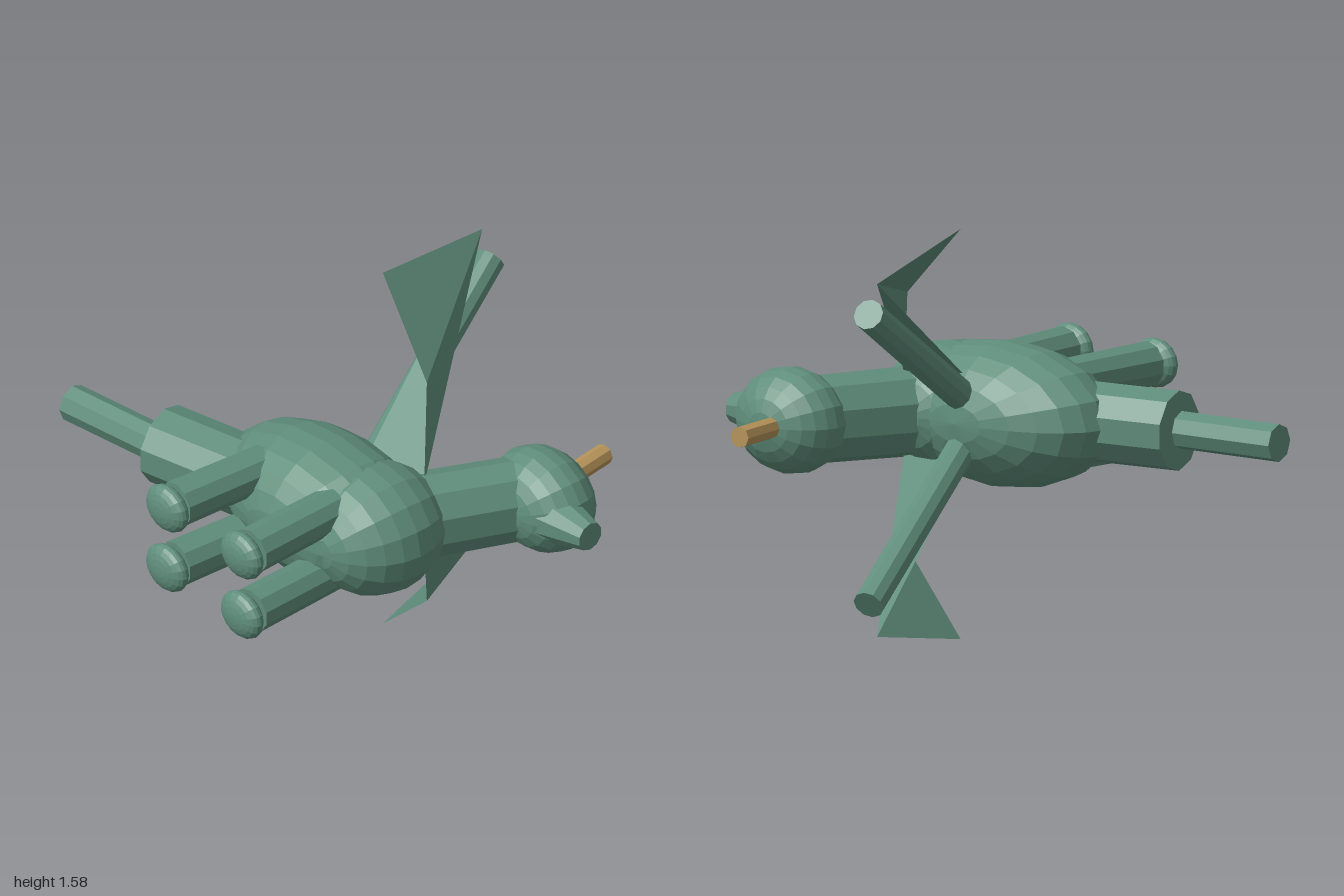
import * as THREE from 'three';

export function createModel() {
  const green = new THREE.MeshStandardMaterial({ color: 0x5f8d7b, flatShading: true });
  green.name = 'sage green';
  const membraneGreen = green.clone();
  membraneGreen.side = THREE.DoubleSide;
  const gold = new THREE.MeshStandardMaterial({ color: 0xb8955a, flatShading: true });
  gold.name = 'horn gold';

  const model = new THREE.Group();
  model.name = 'wingedCreature';
  // The creature is built upright (y up, facing +x), then laid on its side
  const creature = new THREE.Group();
  creature.name = 'creature';
  creature.rotation.x = -Math.PI / 2;
  creature.position.y = 0.796;
  model.add(creature);

  const add = (name, geometry, material = green) => {
    const mesh = new THREE.Mesh(geometry, material);
    mesh.name = name;
    creature.add(mesh);
    return mesh;
  };
  const ellipsoid = (name, center, radii) => {
    const mesh = add(name, new THREE.SphereGeometry(1, 16, 12));
    mesh.position.set(...center);
    mesh.scale.set(...radii);
    return mesh;
  };
  // Cylinder from point a to point b
  const limb = (name, a, b, ra, rb, sides, material = green) => {
    const from = new THREE.Vector3(...a), to = new THREE.Vector3(...b);
    const dir = to.clone().sub(from);
    const mesh = add(name, new THREE.CylinderGeometry(rb, ra, dir.length(), sides), material);
    mesh.position.copy(from).add(to).multiplyScalar(0.5);
    mesh.quaternion.setFromUnitVectors(new THREE.Vector3(0, 1, 0), dir.normalize());
    return mesh;
  };

  // Torso
  ellipsoid('body', [0.17, -0.195, 0], [0.5, 0.295, 0.28]);
  ellipsoid('chest', [0.41, -0.165, 0], [0.275, 0.28, 0.257]);

  // Neck, head, snout and horn
  const neck = limb('neck', [0.44, -0.04, 0], [0.65, 0.45, 0], 0.15, 0.145, 10);
  neck.scale.z = 1.17;
  ellipsoid('head', [0.68, 0.448, 0], [0.238, 0.176, 0.206]);
  limb('snout', [0.8, 0.405, 0], [1, 0.41, 0], 0.108, 0.058, 10);
  limb('horn', [0.655, 0.48, 0], [0.6, 0.828, 0], 0.041, 0.041, 8, gold);

  // Two-stage tail
  limb('tailBase', [-0.1, -0.284, 0], [-0.547, -0.382, 0], 0.155, 0.155, 10);
  limb('tailTip', [-0.45, -0.388, 0], [-0.99, -0.457, 0], 0.073, 0.073, 8);

  for (const side of [1, -1]) {
    const label = side > 0 ? 'Upper' : 'Lower';

    // Legs and feet
    for (const [name, top, foot] of [['front', 0.365, 0.388], ['hind', -0.02, -0.043]]) {
      const z = 0.134 * side;
      limb(name + 'Leg' + label, [top, -0.3, z], [foot, -0.76, z], 0.085, 0.09, 10);
      ellipsoid(name + 'Foot' + label, [foot, -0.802, z], [0.11, 0.05, 0.096]);
    }

    // Wing spar and folded membrane, fanned out from the tip
    limb('wingSpar' + label, [0.19, -0.005, 0.07 * side], [-0.055, 0.825, 0.56 * side], 0.06, 0.06, 10);
    const outline = [
      [-0.09, 0.815, 0.68], [0.022, 0.22, 0.791], [0.36, 0.147, 0.492],
      [0.48, 0.03, 0.145], [0.2, 0, 0.17],
    ];
    const membrane = new THREE.BufferGeometry();
    membrane.setAttribute('position', new THREE.Float32BufferAttribute(
      outline.flatMap(([x, y, z]) => [x, y, z * side]), 3));
    membrane.setIndex([0, 1, 2, 0, 2, 3, 0, 3, 4]);
    membrane.computeVertexNormals();
    add('wingMembrane' + label, membrane, membraneGreen);
  }
  return model;
}
